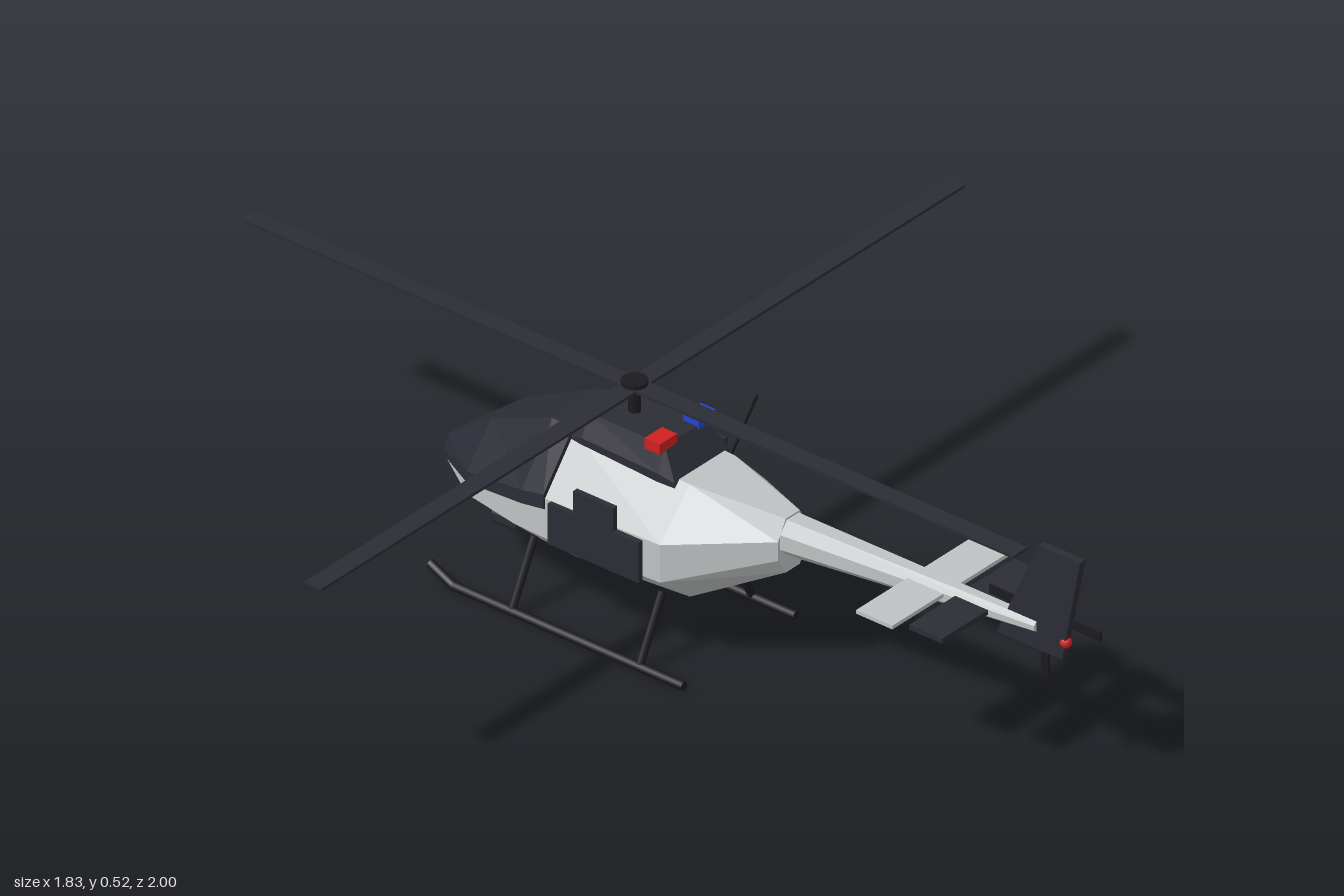
import * as THREE from 'three';

const mat = (name, color, flatShading = false) => {
  const m = new THREE.MeshStandardMaterial({ color, flatShading });
  m.name = name;
  return m;
};

// Eight-sided section, anticlockwise seen from +z; c = [z, yBottom, yLow, yHigh, yTop, xBottom, xSide, xTop]
const octagon = ([z, yb, yl, yh, yt, xb, xs, xt]) =>
  [[xb, yb], [xs, yl], [xs, yh], [xt, yt], [-xt, yt], [-xs, yh], [-xs, yl], [-xb, yb]].map(([x, y]) => [x, y, z]);

// Closed skin over sections listed from the tail (+z) to the nose (-z)
function loft(sections) {
  const rings = sections.map(octagon), n = 8, pos = [], last = rings.length - 1;
  const tri = (a, b, c) => pos.push(...a, ...b, ...c);
  for (let i = 0; i < last; i++) {
    for (let j = 0; j < n; j++) {
      const k = (j + 1) % n;
      tri(rings[i][j], rings[i + 1][j], rings[i][k]);
      tri(rings[i][k], rings[i + 1][j], rings[i + 1][k]);
    }
  }
  for (let j = 1; j < n - 1; j++) {
    tri(rings[0][0], rings[0][j], rings[0][j + 1]);
    tri(rings[last][0], rings[last][j + 1], rings[last][j]);
  }
  const g = new THREE.BufferGeometry();
  g.setAttribute('position', new THREE.Float32BufferAttribute(pos, 3));
  g.computeVertexNormals();
  return g;
}

export function createModel() {
  const model = new THREE.Group();
  model.name = 'helicopter';
  const grey = mat('bodyGrey', 0xbfc2c3, true);
  const dark = mat('darkPanel', 0x2c2c36, true);
  const black = mat('blackMetal', 0x1b1b1e);
  const red = mat('redLight', 0xd02020);
  const blue = mat('blueLight', 0x2244d8);
  const lens = mat('lensGrey', 0x8c8f92);

  const add = (name, geometry, material, x = 0, y = 0, z = 0, parent = model) => {
    const m = new THREE.Mesh(geometry, material);
    m.name = name;
    m.position.set(x, y, z);
    parent.add(m);
    return m;
  };
  const box = (name, material, w, h, d, x, y, z, parent) =>
    add(name, new THREE.BoxGeometry(w, h, d), material, x, y, z, parent);
  // Round bar between two points
  const bar = (name, material, r, a, b) => {
    const from = new THREE.Vector3(...a), dir = new THREE.Vector3(...b).sub(from);
    const m = add(name, new THREE.CylinderGeometry(r, r, dir.length(), 8), material);
    m.position.copy(from).addScaledVector(dir, 0.5);
    m.quaternion.setFromUnitVectors(new THREE.Vector3(0, 1, 0), dir.normalize());
    return m;
  };

  // Fuselage and tail boom
  add('fuselage', loft([
    [0.29, 0.235, 0.27, 0.31, 0.35, 0.02, 0.042, 0.02],
    [0.1, 0.13, 0.2, 0.28, 0.37, 0.065, 0.15, 0.065],
    [-0.17, 0.112, 0.19, 0.275, 0.38, 0.068, 0.153, 0.068],
    [-0.25, 0.114, 0.187, 0.25, 0.355, 0.065, 0.146, 0.06],
    [-0.39, 0.127, 0.18, 0.215, 0.29, 0.05, 0.113, 0.04],
    [-0.505, 0.158, 0.17, 0.185, 0.205, 0.018, 0.03, 0.016],
  ]), grey);
  add('tailBoom', loft([
    [0.875, 0.332, 0.338, 0.348, 0.356, 0.007, 0.015, 0.007],
    [0.28, 0.27, 0.29, 0.322, 0.346, 0.017, 0.036, 0.017],
  ]), grey);

  // Wraparound canopy over the upper nose
  add('canopy', loft([
    [-0.17, 0.25, 0.255, 0.285, 0.39, 0.15, 0.158, 0.073],
    [-0.225, 0.238, 0.243, 0.272, 0.386, 0.145, 0.153, 0.068],
    [-0.385, 0.203, 0.208, 0.232, 0.313, 0.11, 0.118, 0.045],
    [-0.51, 0.174, 0.178, 0.192, 0.217, 0.026, 0.033, 0.02],
  ]), dark);

  // Engine cowling
  add('engineCowling', loft([
    [0.075, 0.35, 0.352, 0.368, 0.37, 0.075, 0.078, 0.078],
    [0.037, 0.35, 0.352, 0.375, 0.425, 0.075, 0.08, 0.06],
    [-0.144, 0.35, 0.352, 0.38, 0.425, 0.075, 0.08, 0.06],
    [-0.172, 0.35, 0.352, 0.37, 0.375, 0.075, 0.078, 0.076],
  ]), dark);

  // Main rotor
  const rotor = new THREE.Group();
  rotor.name = 'mainRotor';
  rotor.position.set(0, 0.48, -0.085);
  model.add(rotor);
  add('rotorMast', new THREE.CylinderGeometry(0.012, 0.012, 0.08, 10), black, 0, -0.03, 0, rotor);
  add('rotorHub', new THREE.CylinderGeometry(0.026, 0.026, 0.022, 12), black, 0, 0, 0, rotor);
  box('crossBlades', dark, 1.83, 0.006, 0.04, 0, 0, 0, rotor);
  box('lengthwiseBlades', dark, 0.04, 0.006, 1.83, 0, 0, 0, rotor);

  // Tail fin, swept back
  const fin = new THREE.Shape([[-0.978, 0.52], [-0.935, 0.297], [-0.78, 0.297], [-0.88, 0.52]]
    .map(p => new THREE.Vector2(...p)));
  const finGeometry = new THREE.ExtrudeGeometry(fin, { depth: 0.016, bevelEnabled: false });
  finGeometry.rotateY(Math.PI / 2);
  add('tailFin', finGeometry, dark, -0.008);

  // Stabilizers
  box('frontStabilizer', grey, 0.335, 0.008, 0.086, 0, 0.335, 0.623);
  box('rearStabilizer', dark, 0.3, 0.01, 0.078, 0, 0.338, 0.73);

  // Tail rotor
  const tailRotor = new THREE.Group();
  tailRotor.name = 'tailRotor';
  tailRotor.position.set(0.026, 0.355, 0.868);
  model.add(tailRotor);
  box('uprightTailBlades', black, 0.005, 0.266, 0.018, 0, 0, 0, tailRotor);
  box('levelTailBlades', black, 0.005, 0.018, 0.264, 0, 0, 0, tailRotor);
  add('tailHub', new THREE.CylinderGeometry(0.01, 0.01, 0.03, 10), black, -0.002, 0, 0, tailRotor).rotation.z = Math.PI / 2;
  add('tailLight', new THREE.SphereGeometry(0.012, 10, 8), red, 0, 0.332, 0.938);

  // Mirrored doors and landing skids
  for (const s of [1, -1]) {
    box('doorPanel', dark, 0.012, 0.086, 0.215, s * 0.157, 0.232, -0.048);
    box('doorWindow', dark, 0.012, 0.05, 0.095, s * 0.157, 0.3, -0.048);
    bar('skid', black, 0.009, [s * 0.16, 0.009, 0.165], [s * 0.16, 0.009, -0.385]);
    bar('skidTip', black, 0.009, [s * 0.16, 0.009, -0.382], [s * 0.16, 0.036, -0.438]);
    for (const z of [0.06, -0.243]) bar('skidLeg', black, 0.008, [s * 0.16, 0.01, z], [s * 0.095, 0.14, z]);
  }

  // Roof lights and antenna
  box('leftBeacon', blue, 0.05, 0.022, 0.036, 0.055, 0.428, 0.023);
  box('rightBeacon', red, 0.05, 0.022, 0.036, -0.055, 0.428, 0.023);
  bar('antenna', black, 0.003, [0.07, 0.35, 0.08], [0.07, 0.515, 0.147]);

  // Camera turret under the nose
  add('cameraTurret', new THREE.CylinderGeometry(0.03, 0.03, 0.055, 14), dark, 0, 0.09, -0.37).rotation.x = Math.PI / 2;
  add('cameraLens', new THREE.CylinderGeometry(0.026, 0.026, 0.005, 14), lens, 0, 0.09, -0.399).rotation.x = Math.PI / 2;
  box('cameraMount', black, 0.025, 0.04, 0.03, 0, 0.125, -0.37);
  return model;
}
